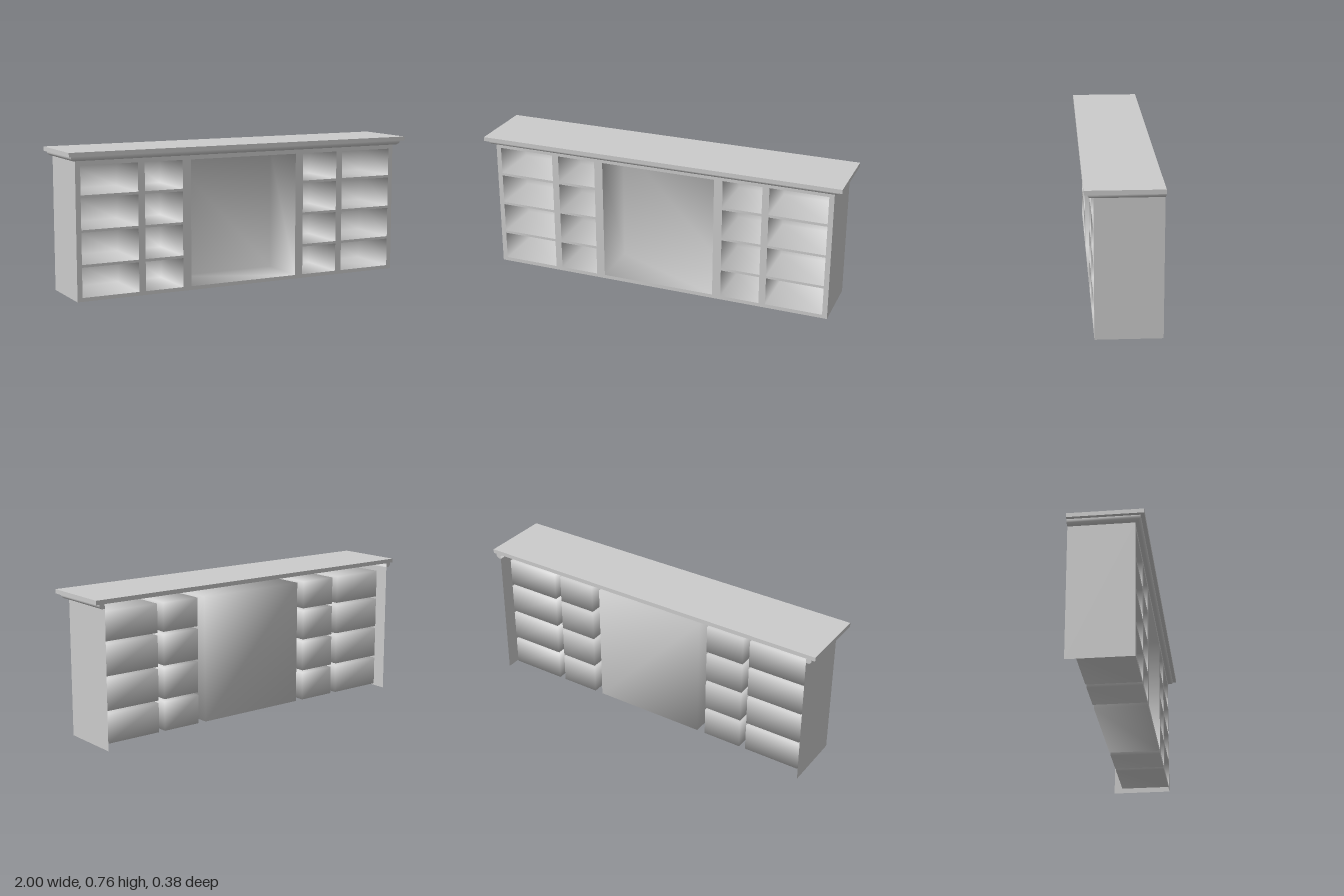
import * as THREE from 'three';
import { mergeVertices, toCreasedNormals } from 'three/addons/utils/BufferGeometryUtils.js';

const HALF_W = 0.952, FRONT = 0.143, BACK = -0.19, POCKET_BACK = -0.14;
const CASE_TOP = 0.716, SLAB_BOTTOM = 0.74, TOP = 0.762;

const material = new THREE.MeshStandardMaterial({ color: 0xcccccc, side: THREE.DoubleSide });

function part(name, geometry) {
  const mesh = new THREE.Mesh(geometry, material);
  mesh.name = name;
  return mesh;
}

// Openings as [x0, x1, y0, y1]: a wide centre bay and two mirrored columns of shelves per side
function openings() {
  const rows = [[0.02, 0.175], [0.189, 0.353], [0.366, 0.528], [0.542, 0.692]];
  const columns = [[0.363, 0.577], [0.614, 0.925]];
  const list = [[-0.316, 0.316, 0.02, 0.692]];
  for (const [a, b] of columns) {
    for (const [y0, y1] of rows) list.push([a, b, y0, y1], [-b, -a, y0, y1]);
  }
  return list;
}

// Front face sheet, pierced by the openings
function frameGeometry(list) {
  const rect = (path, x0, x1, y0, y1) =>
    path.moveTo(x0, y0).lineTo(x1, y0).lineTo(x1, y1).lineTo(x0, y1).closePath();
  const shape = new THREE.Shape();
  rect(shape, -HALF_W, HALF_W, 0, CASE_TOP);
  for (const o of list) {
    const hole = new THREE.Path();
    rect(hole, ...o);
    shape.holes.push(hole);
  }
  return new THREE.ShapeGeometry(shape).translate(0, 0, FRONT);
}

// Thin recess: a box without its front face, softly shaded over its corners
function pocketGeometry([x0, x1, y0, y1]) {
  const box = new THREE.BoxGeometry(x1 - x0, y1 - y0, FRONT - POCKET_BACK);
  const index = Array.from(box.index.array);
  index.splice(24, 6);
  box.setIndex(index);
  box.clearGroups();
  box.deleteAttribute('normal');
  box.deleteAttribute('uv');
  const welded = mergeVertices(box);
  welded.computeVertexNormals();
  return welded.translate((x0 + x1) / 2, (y0 + y1) / 2, (FRONT + POCKET_BACK) / 2);
}

// Cove moulding: [outward offset, height] profile mitred round the front and both ends
function mouldingGeometry() {
  const profile = [[0, CASE_TOP], [0.015, CASE_TOP], [0.019, 0.718], [0.025, 0.723],
    [0.029, 0.729], [0.029, SLAB_BOTTOM], [0, SLAB_BOTTOM]];
  const stations = [[-HALF_W, BACK, -1, 0], [-HALF_W, FRONT, -1, 1],
    [HALF_W, FRONT, 1, 1], [HALF_W, BACK, 1, 0]];
  const n = profile.length, positions = [], index = [];
  for (const [x, z, dx, dz] of stations) {
    for (const [d, y] of profile) positions.push(x + dx * d, y, z + dz * d);
  }
  for (let s = 0; s < 3; s++) {
    for (let i = 0; i < n - 1; i++) {
      const a = s * n + i, b = a + n;
      index.push(a, b, b + 1, a, b + 1, a + 1);
    }
  }
  // End caps at the back
  for (let i = 1; i < n - 1; i++) {
    index.push(0, i, i + 1, 3 * n, 3 * n + i + 1, 3 * n + i);
  }
  const geometry = new THREE.BufferGeometry();
  geometry.setAttribute('position', new THREE.Float32BufferAttribute(positions, 3));
  geometry.setIndex(index);
  return toCreasedNormals(geometry, 0.7);
}

export function createModel() {
  const group = new THREE.Group();
  group.name = 'bookcase';
  const list = openings();

  group.add(part('faceFrame', frameGeometry(list)));

  const shelves = new THREE.Group();
  shelves.name = 'shelfCompartments';
  list.forEach((o, i) =>
    shelves.add(part(i === 0 ? 'centreBay' : 'shelfCompartment', pocketGeometry(o))));
  group.add(shelves);

  // Side panels
  for (const side of [1, -1]) {
    const panel = part(side > 0 ? 'leftPanel' : 'rightPanel',
      new THREE.PlaneGeometry(FRONT - BACK, CASE_TOP));
    panel.rotation.y = side * Math.PI / 2;
    panel.position.set(side * HALF_W, CASE_TOP / 2, (FRONT + BACK) / 2);
    group.add(panel);
  }

  group.add(part('coveMoulding', mouldingGeometry()));

  // Top slab
  const slab = part('topSlab', new THREE.BoxGeometry(2, TOP - SLAB_BOTTOM, 0.381));
  slab.position.set(0, (TOP + SLAB_BOTTOM) / 2, 0.0005);
  group.add(slab);

  return group;
}
